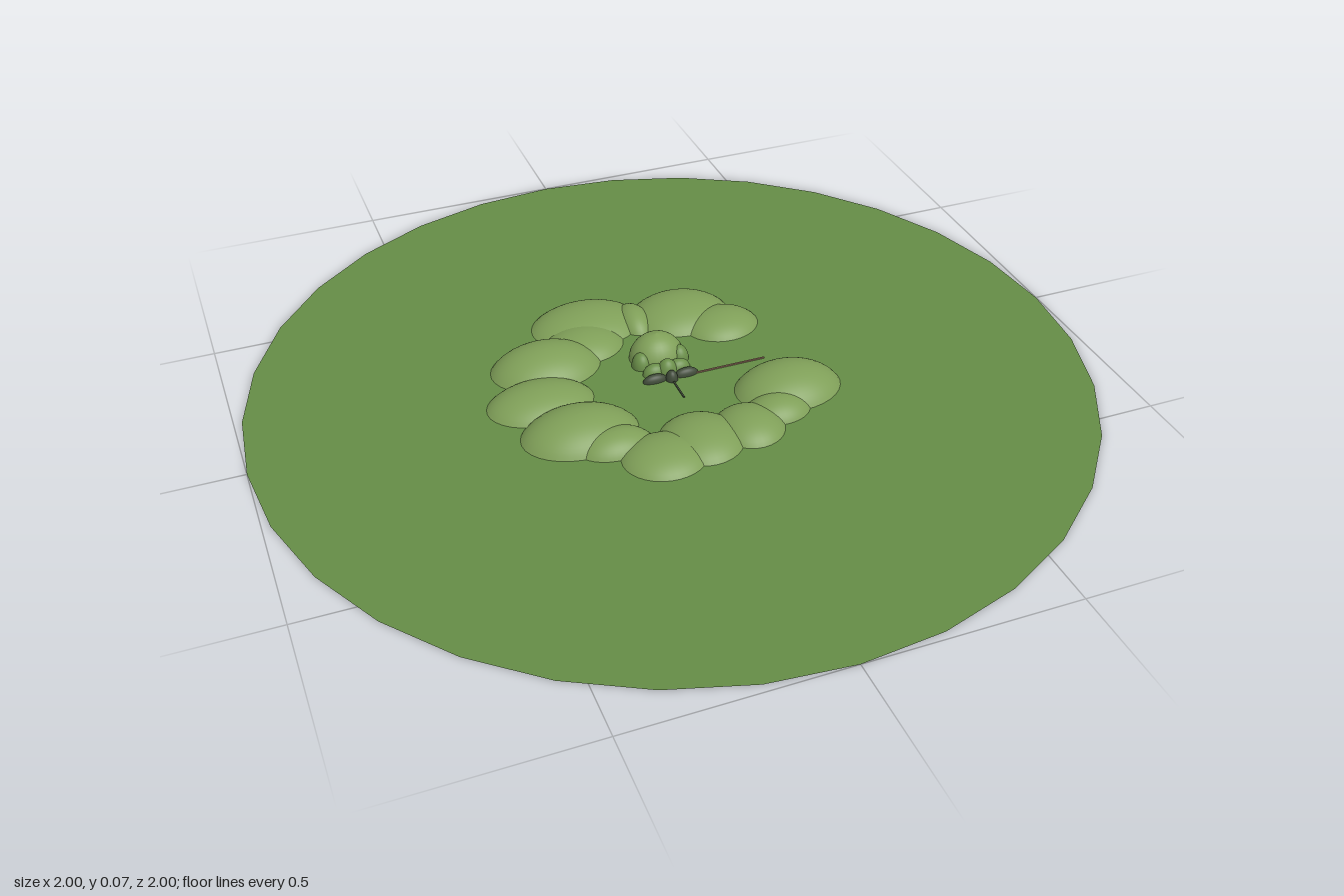
import * as THREE from 'three';

const paint = (color) => new THREE.MeshStandardMaterial({ color, side: THREE.DoubleSide });

// Shallow smooth dome resting on the ground, one unit in radius and height
function domeGeometry(steep) {
  const points = [];
  const end = Math.cos(steep);
  for (let i = 0; i <= 12; i++) {
    const a = steep * (1 - i / 12);
    points.push(new THREE.Vector2(Math.sin(a) / Math.sin(steep), (Math.cos(a) - end) / (1 - end)));
  }
  return new THREE.LatheGeometry(points, 32);
}

export function createModel() {
  const model = new THREE.Group();
  const grass = paint(0x648c46);
  const hillGreen = paint(0x7f9f58);
  const leafGreen = paint(0x6b8f4a);
  const darkGreen = paint(0x3f4a38);
  const shallow = domeGeometry(1.15);
  const round = domeGeometry(Math.PI / 2);

  const add = (parent, name, geometry, material, position, scale = [1, 1, 1]) => {
    const mesh = new THREE.Mesh(geometry, material);
    mesh.name = name;
    mesh.position.set(...position);
    mesh.scale.set(...scale);
    parent.add(mesh);
    return mesh;
  };

  // Flat grass disc
  const ground = add(model, 'ground', new THREE.CircleGeometry(1, 32), grass, [0, 0, 0]);
  ground.rotation.x = -Math.PI / 2;

  // Open ring of hills: x, z, radius x, radius z, height
  const hills = new THREE.Group();
  hills.name = 'hills';
  model.add(hills);
  [
    [-0.115, -0.295, 0.14, 0.105, 0.042],
    [0.0, -0.27, 0.045, 0.07, 0.036],
    [0.12, -0.26, 0.125, 0.105, 0.042],
    [0.2, -0.18, 0.095, 0.08, 0.034],
    [-0.15, -0.215, 0.1, 0.085, 0.036],
    [-0.265, -0.155, 0.135, 0.1, 0.055],
    [-0.32, -0.02, 0.128, 0.09, 0.042],
    [-0.27, 0.12, 0.138, 0.1, 0.055],
    [-0.21, 0.19, 0.09, 0.06, 0.038],
    [-0.12, 0.27, 0.1, 0.088, 0.034],
    [-0.02, 0.24, 0.098, 0.1, 0.038],
    [0.1, 0.235, 0.082, 0.085, 0.037],
    [0.185, 0.2, 0.08, 0.06, 0.036],
    [0.245, 0.125, 0.13, 0.1, 0.055],
  ].forEach(([x, z, rx, rz, h]) => add(hills, 'hill', shallow, hillGreen, [x, 0, z], [rx, h, rz]));

  // Central mound with a small peak and side lobes
  const centre = new THREE.Group();
  centre.name = 'centre';
  model.add(centre);
  const peak = [[0.068, 0], [0.064, 0.02], [0.05, 0.042], [0.028, 0.058], [0, 0.066]]
    .map(([r, y]) => new THREE.Vector2(r, y));
  add(centre, 'peak', new THREE.LatheGeometry(new THREE.SplineCurve(peak).getPoints(12), 24),
    hillGreen, [0, 0, -0.105], [1, 1, 0.85]);
  for (const side of [-1, 1]) {
    add(centre, 'sideLobe', round, leafGreen, [side * 0.048, 0, -0.078], [0.024, 0.036, 0.025]);
    add(centre, 'frontLobe', round, leafGreen, [side * 0.03, 0, -0.035], [0.03, 0.028, 0.02]);
    add(centre, 'foot', round, darkGreen, [side * 0.04, 0, -0.008], [0.03, 0.018, 0.013]);
  }
  add(centre, 'middleLobe', round, leafGreen, [0, 0, -0.03], [0.025, 0.038, 0.022]);
  add(centre, 'centreStone', round, darkGreen, [0, 0, 0], [0.015, 0.025, 0.015]);

  // Thin twigs lying on the grass
  add(centre, 'sideTwig', new THREE.BoxGeometry(0.24, 0.003, 0.004), paint(0x9a7a62), [0.12, 0.002, -0.002]);
  add(centre, 'frontTwig', new THREE.BoxGeometry(0.004, 0.003, 0.08), darkGreen, [0, 0.002, 0.04]);

  return model;
}
